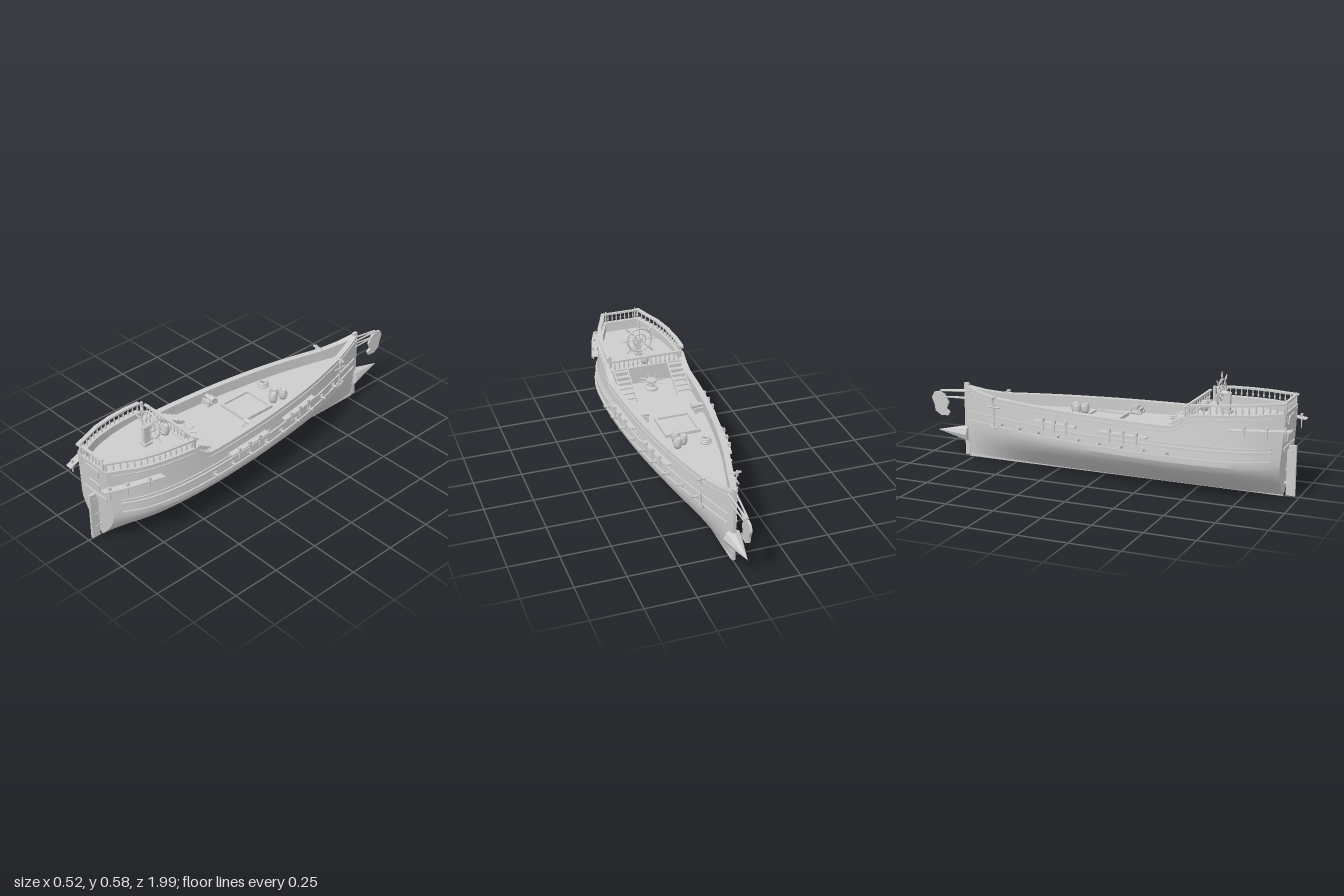
import * as THREE from 'three';
import { toCreasedNormals } from 'three/addons/utils/BufferGeometryUtils.js';

const grey = new THREE.MeshStandardMaterial({ color: 0xcccccc, side: THREE.DoubleSide });
grey.name = 'paleGrey';

// Piecewise linear lookup
function lookup(table, v) {
  if (v <= table[0][0]) return table[0][1];
  for (let i = 1; i < table.length; i++) {
    const [a, p] = table[i - 1], [b, q] = table[i];
    if (v <= b) return p + (q - p) * (v - a) / (b - a);
  }
  return table[table.length - 1][1];
}
// Half beam along z, fullness by height, and height of the bulwark top
const BEAM = [[-0.8, 0.008], [-0.7, 0.04], [-0.6, 0.07], [-0.5, 0.1], [-0.4, 0.128], [-0.3, 0.152], [-0.2, 0.172], [-0.1, 0.188],
  [0, 0.203], [0.1, 0.214], [0.2, 0.222], [0.3, 0.229], [0.4, 0.233], [0.5, 0.234], [0.6, 0.229], [0.7, 0.216], [0.8, 0.19], [0.88, 0.15], [0.95, 0.117]];
const FULL = [[0.01, 0.14], [0.03, 0.28], [0.05, 0.43], [0.1, 0.76], [0.13, 0.89], [0.15, 0.955], [0.17, 0.995], [0.2, 1], [0.25, 0.97], [0.3, 0.945], [0.43, 0.89]];
const SHEER = [[-0.8, 0.38], [-0.7, 0.355], [-0.6, 0.342], [0.42, 0.342], [0.45, 0.35], [0.48, 0.375], [0.51, 0.405], [0.6, 0.412], [0.8, 0.422], [0.95, 0.432]];
const STEP = 0.48, MAIN = 0.285, QUARTER = 0.38;
const sheer = z => lookup(SHEER, z);
const half = (z, y) => lookup(BEAM, z) * lookup(FULL, y);
const rake = (z, y) => z - 0.03 * (1 - y / 0.43) * THREE.MathUtils.clamp((z - 0.88) / 0.07, 0, 1);
const range = (a, b, n) => Array.from({ length: n + 1 }, (_, i) => a + (b - a) * i / n);

// Surface through rows of points
function surface(rows, crease = 0.5) {
  const n = rows[0].length, idx = [];
  for (let i = 0; i < rows.length - 1; i++) for (let j = 0; j < n - 1; j++) {
    const a = i * n + j, b = a + n;
    idx.push(a, b, a + 1, a + 1, b, b + 1);
  }
  const g = new THREE.BufferGeometry();
  g.setAttribute('position', new THREE.Float32BufferAttribute(rows.flat(2), 3));
  g.setIndex(idx);
  return toCreasedNormals(g, crease);
}

export function createModel() {
  const ship = new THREE.Group();
  ship.name = 'ship';
  const add = (name, geo, x = 0, y = 0, z = 0, parent = ship) => {
    const m = new THREE.Mesh(geo, grey);
    m.name = name;
    m.position.set(x, y, z);
    parent.add(m);
    return m;
  };
  const box = (name, w, h, d, x, y, z, parent) => add(name, new THREE.BoxGeometry(w, h, d), x, y, z, parent);
  const rod = (name, a, b, r, parent, r2 = r, sides = 8) => {
    const p = new THREE.Vector3(...a), q = new THREE.Vector3(...b), d = q.clone().sub(p);
    const m = add(name, new THREE.CylinderGeometry(r2, r, d.length(), sides), 0, 0, 0, parent);
    m.position.copy(p).add(q).multiplyScalar(0.5);
    m.quaternion.setFromUnitVectors(new THREE.Vector3(0, 1, 0), d.normalize());
    return m;
  };
  // Rectangular moulding that follows the hull side
  const moulding = (name, s, z0, z1, yAt, h, out, inside = 0.004) => {
    const rows = range(z0, z1, 40).map(z => {
      const y = yAt(z), x = half(z, y), zz = rake(z, y);
      return [[x - inside, y - h / 2], [x + out, y - h / 2], [x + out, y + h / 2], [x - inside, y + h / 2], [x - inside, y - h / 2]]
        .map(([a, b]) => [s * a, b, zz]);
    });
    add(name, surface(rows, 0.6));
    for (const r of [rows[0], rows[40]]) add(name + 'End', surface([[r[0], r[1]], [r[3], r[2]]]));
  };

  // Hull sides, bulwark cap and inner bulwark
  const levels = [0.01, 0.03, 0.05, 0.075, 0.1, 0.13, 0.15, 0.17, 0.2, 0.25, 0.3];
  const stations = [...range(-0.8, 0.4, 24), 0.42, 0.45, 0.48, 0.4801, 0.51, ...range(0.55, 0.95, 10)];
  const deckY = z => (z > STEP ? QUARTER : MAIN);
  const inner = (z, y) => Math.max(half(z, y) - 0.025, 0);
  for (const s of [1, -1]) {
    add('hullSide', surface(stations.map(z => [...levels, sheer(z)].map(y => [s * half(z, y), y, rake(z, y)])), 0.35));
    add('bulwark', surface(stations.map(z => {
      const t = sheer(z), d = Math.min(deckY(z), t);
      return [[s * half(z, t), t, z], [s * inner(z, t), t, z], [s * inner(z, t), d, z]];
    })));
  }
  const across = (f, y, zs) => surface(zs.map(z => [[-f(z, y), y, rake(z, y)], [f(z, y), y, rake(z, y)]]));
  add('hullBottom', across(half, 0.01, stations));
  add('mainDeck', across(inner, MAIN, stations.filter(z => z <= STEP)));
  add('quarterDeck', across(inner, QUARTER, stations.filter(z => z > STEP)));
  box('bulkhead', 0.39, QUARTER - MAIN, 0.01, 0, (QUARTER + MAIN) / 2, STEP + 0.005);
  box('deckEdge', 0.385, 0.012, 0.02, 0, QUARTER, STEP);
  box('keel', 0.014, 0.012, 1.7, 0, 0.006, 0.07);
  box('stemPost', 0.016, 0.385, 0.025, 0, 0.2, -0.79);

  // Transom with its panels and the rudder
  const tl = [...levels, 0.36, 0.432];
  const face = dz => tl.map(y => [[-half(0.95, y), y, rake(0.95, y) - dz], [half(0.95, y), y, rake(0.95, y) - dz]]);
  add('transom', surface(face(0)));
  add('transomInside', surface(face(0.02)));
  add('transomCap', surface([face(0)[tl.length - 1], face(0.02)[tl.length - 1]]));
  const panel = (w, y, h, c) => {
    const p = new THREE.Shape([[-w + c, -h], [w - c, -h], [w, -h + c], [w, h - c], [w - c, h], [-w + c, h], [-w, h - c], [-w, -h + c]].map(q => new THREE.Vector2(...q)));
    add('sternPanel', new THREE.ExtrudeGeometry(p, { depth: 0.006, bevelEnabled: false }), 0, y, rake(0.95, y)).rotation.x = 0.07;
  };
  panel(0.048, 0.385, 0.025, 0.008);
  panel(0.042, 0.3, 0.025, 0.008);
  panel(0.083, 0.251, 0.011, 0.001);
  box('rudder', 0.014, 0.25, 0.045, 0, 0.13, 0.957);
  for (const y of [0.067, 0.137, 0.225]) box('rudderHinge', 0.021, 0.008, 0.04, 0, y, 0.94);

  // Turned baluster shared by all railings
  const baluster = new THREE.LatheGeometry([[0.003, 0], [0.003, 0.01], [0.0055, 0.018], [0.0025, 0.03], [0.004, 0.045]].map(p => new THREE.Vector2(...p)), 8);

  for (const s of [1, -1]) {
    // Wales and rails
    moulding('lowerWale', s, -0.77, 0.9, () => 0.197, 0.01, 0.008);
    moulding('middleWale', s, -0.77, 0.9, () => 0.244, 0.011, 0.008);
    moulding('upperWale', s, 0.02, 0.9, () => 0.263, 0.008, 0.006);
    moulding('sheerRail', s, -0.79, 0.945, z => sheer(z) - 0.003, 0.01, 0.006, 0.025);
    moulding('sheerMoulding', s, -0.77, 0.93, z => sheer(z) - 0.025, 0.007, 0.005);

    // Quarterdeck side railing
    moulding('handRail', s, 0.5, 0.95, z => sheer(z) + 0.047, 0.009, 0.004, 0.018);
    for (const z of range(0.52, 0.94, 14)) add('baluster', baluster, s * (half(z, sheer(z)) - 0.01), sheer(z), z);
    box('railPost', 0.006, 0.06, 0.008, s * 0.083, 0.462, 0.945);
    box('railPost', 0.012, 0.085, 0.012, s * 0.192, 0.415, 0.5);

    // Side guns
    for (const z of range(-0.54, 0.41, 8)) {
      const x = half(z, 0.215);
      rod('sideGun', [s * (x - 0.01), 0.213, z], [s * (x + 0.03), 0.221, z], 0.008, ship, 0.006);
      box('gunPort', 0.008, 0.022, 0.024, s * x, 0.215, z);
    }

    // Rigging platforms with posts
    for (const [a, b] of [[0.05, 0.31], [-0.33, -0.08]]) {
      moulding('channel', s, a, b, () => 0.278, 0.007, 0.03);
      for (const k of [0.25, 0.53, 0.8]) {
        const z = a + (b - a) * k, x = s * (half(z, 0.278) + 0.027);
        box('channelPost', 0.006, 0.06, 0.006, x, 0.268, z);
        box('channelBlock', 0.013, 0.02, 0.012, x, 0.29, z);
      }
    }
    const plate = new THREE.Shape([[0.11, 0.99], [0.145, 0.99], [0.188, 0.88], [0.235, 0.71], [0.2, 0.71], [0.17, 0.82]].map(([x, z]) => new THREE.Vector2(s * x, z)));
    add('sternChannel', new THREE.ExtrudeGeometry(plate, { depth: 0.006, bevelEnabled: false }), 0, 0.36, 0).rotation.x = Math.PI / 2;
    for (const [x, z] of [[0.14, 0.96], [0.17, 0.88], [0.207, 0.78]]) {
      box('sternChannelPost', 0.005, 0.065, 0.005, s * x, 0.34, z);
      box('sternChannelBlock', 0.011, 0.018, 0.011, s * x, 0.368, z);
    }

    // Cathead and anchor
    rod('cathead', [s * 0.05, 0.345, -0.595], [s * 0.11, 0.345, -0.595], 0.006);
    box('catheadBlock', 0.01, 0.03, 0.01, s * 0.09, 0.34, -0.595);
    rod('anchorShank', [s * 0.088, 0.33, -0.59], [s * 0.085, 0.19, -0.59], 0.004);
    rod('anchorStock', [s * 0.088, 0.3, -0.625], [s * 0.088, 0.3, -0.555], 0.004);
    const arms = add('anchorArms', new THREE.TorusGeometry(0.035, 0.005, 6, 12, Math.PI * 0.7), s * 0.085, 0.225, -0.59);
    arms.rotation.set(0, Math.PI / 2, 0);
    arms.geometry.rotateZ(Math.PI * 1.15);

    // Steps up to the quarterdeck
    for (const k of range(0, 1, 5)) box('stairTread', 0.07, 0.007, 0.024, s * 0.147, MAIN + 0.012 + k * 0.08, 0.32 + k * 0.14);
    for (const x of [0.11, 0.184]) {
      const m = box('stairStringer', 0.006, 0.016, 0.195, s * x, MAIN + 0.047, 0.39);
      m.rotation.x = -0.52;
    }

    // Deck cannon on a carriage
    for (const z of [0.08, 0.125]) box('carriageCheek', 0.055, 0.024, 0.01, s * 0.15, MAIN + 0.018, z);
    box('carriageBed', 0.05, 0.008, 0.04, s * 0.15, MAIN + 0.012, 0.102);
    rod('cannon', [s * 0.115, 0.318, 0.102], [s * 0.195, 0.322, 0.102], 0.014, ship, 0.009, 12);
    for (const x of [0.13, 0.17]) rod('carriageWheels', [s * x, MAIN + 0.008, 0.07], [s * x, MAIN + 0.008, 0.135], 0.008);
  }

  // Railings across the stern and the front of the quarterdeck
  box('sternHandRail', 0.205, 0.009, 0.014, 0, 0.479, 0.943);
  for (const x of range(-0.095, 0.095, 8)) add('sternBaluster', baluster, x, 0.432, 0.943);
  box('frontHandRail', 0.385, 0.009, 0.014, 0, 0.434, STEP);
  for (const x of range(-0.175, 0.175, 14)) add('frontBaluster', baluster, x, QUARTER + 0.005, STEP);

  // Steering wheel
  const wheel = new THREE.Group();
  wheel.name = 'steeringWheel';
  wheel.position.set(0, 0.475, 0.6);
  ship.add(wheel);
  add('rim', new THREE.TorusGeometry(0.066, 0.005, 8, 40), 0, 0, 0, wheel);
  add('innerRing', new THREE.TorusGeometry(0.034, 0.004, 8, 32), 0, 0, 0, wheel);
  rod('hub', [0, 0, -0.012], [0, 0, 0.035], 0.012, wheel, 0.012, 16);
  for (let i = 0; i < 8; i++) {
    const a = i * Math.PI / 4, at = r => [r * Math.sin(a), r * Math.cos(a), 0];
    rod('spoke', at(0), at(0.08), 0.003, wheel);
    rod('handle', at(0.078), at(0.104), 0.0055, wheel, 0.003);
  }
  box('wheelPedestal', 0.022, 0.1, 0.035, 0, 0.43, 0.63);
  box('pedestalFoot', 0.04, 0.012, 0.05, 0, QUARTER + 0.006, 0.63);

  // Barrels, compass stand, capstan, rope coil and hatch
  const barrel = new THREE.LatheGeometry([[0, 0], [0.017, 0], [0.0225, 0.024], [0.017, 0.048], [0.014, 0.048], [0.014, 0.044], [0, 0.044]].map(p => new THREE.Vector2(...p)), 16);
  for (const [x, z] of [[0.028, -0.175], [0.065, -0.2], [0.055, -0.142]]) {
    add('barrel', barrel, x, MAIN, z);
    for (const y of [0.015, 0.033]) add('barrelHoop', new THREE.CylinderGeometry(0.0225, 0.0225, 0.004, 16, 1, true), x, MAIN + y, z);
  }
  add('compassStand', barrel, 0, QUARTER, 0.515);
  const drum = [[0, 0], [0.032, 0], [0.032, 0.01], [0.018, 0.016], [0.016, 0.035], [0.026, 0.042], [0.026, 0.054], [0, 0.058]];
  add('capstan', toCreasedNormals(new THREE.LatheGeometry(drum.map(p => new THREE.Vector2(...p)), 16), 0.6), 0, MAIN, 0.4);
  for (let i = 0; i < 8; i++) {
    const a = i * Math.PI / 4;
    rod('capstanBar', [0, MAIN + 0.048, 0.4], [0.066 * Math.sin(a), MAIN + 0.048, 0.4 + 0.066 * Math.cos(a)], 0.0035);
  }
  for (let i = 0; i < 3; i++) add('ropeCoil', new THREE.TorusGeometry(0.025 - i * 0.003, 0.006, 8, 24), -0.08, MAIN + 0.006 + i * 0.008, -0.2).rotation.x = Math.PI / 2;
  box('hatchCover', 0.16, 0.006, 0.16, 0, MAIN + 0.003, -0.01);
  for (const s of [1, -1]) {
    box('hatchSide', 0.012, 0.016, 0.18, s * 0.086, MAIN + 0.008, -0.01);
    box('hatchEnd', 0.184, 0.016, 0.012, 0, MAIN + 0.008, -0.01 + s * 0.086);
  }

  // Ram, beak beams and figurehead
  const ram = add('ram', new THREE.ConeGeometry(0.045, 0.19, 8).toNonIndexed(), 0, 0.122, -0.875);
  ram.geometry.computeVertexNormals();
  ram.rotation.x = -Math.PI / 2;
  box('ramCollar', 0.03, 0.09, 0.02, 0, 0.122, -0.785);
  for (const s of [1, -1]) {
    rod('beakBeam', [s * 0.018, 0.352, -0.76], [s * 0.003, 0.335, -0.95], 0.005);
    rod('lowerBeakBeam', [s * 0.012, 0.31, -0.79], [s * 0.003, 0.304, -0.92], 0.004);
  }
  const outline = [[0.925, 0.318], [0.955, 0.33], [0.985, 0.325], [1, 0.295], [0.985, 0.26], [0.98, 0.225], [0.945, 0.203], [0.905, 0.205], [0.895, 0.225], [0.915, 0.24], [0.9, 0.275]];
  const head = new THREE.ExtrudeGeometry(new THREE.Shape(outline.map(p => new THREE.Vector2(...p))), { depth: 0.012, bevelEnabled: false });
  add('figurehead', head, -0.006, 0, 0).rotation.y = Math.PI / 2;
  return ship;
}
